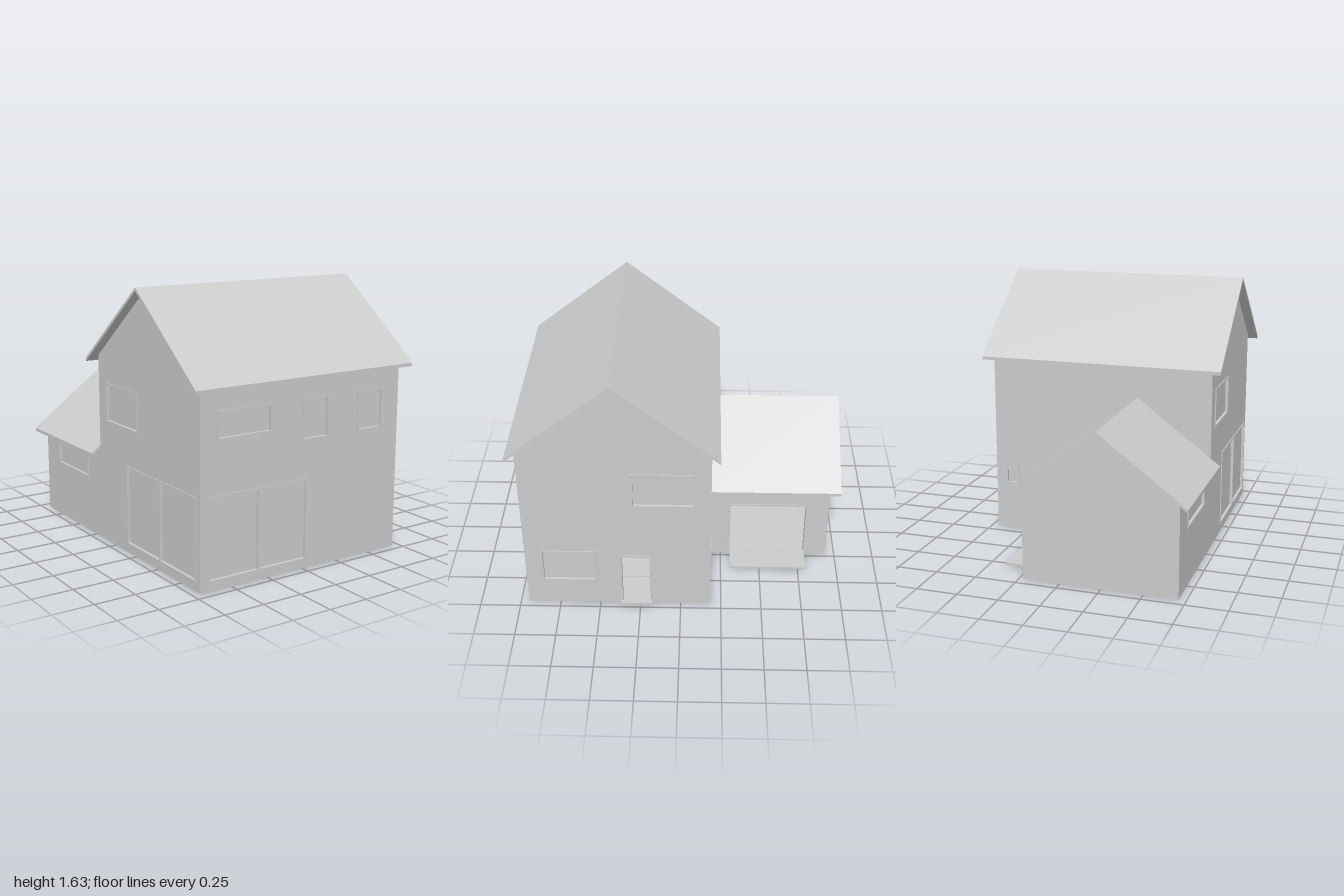
import * as THREE from 'three';

const mat = new THREE.MeshStandardMaterial({ color: 0xcccccc, flatShading: true, side: THREE.DoubleSide });
const WALL = 0.008; // wall thickness
const FRAME = 0.012; // width of window and door frames

// Path of a rectangle given as [left, right, bottom, top]
function rectPath(target, [l, r, b, t]) {
  target.moveTo(l, b);
  target.lineTo(r, b);
  target.lineTo(r, t);
  target.lineTo(l, t);
  target.closePath();
  return target;
}

function mesh(name, geometry) {
  const m = new THREE.Mesh(geometry, mat);
  m.name = name;
  return m;
}

// Box from its lower and upper limits on each axis
function box(name, [x0, x1], [y0, y1], [z0, z1]) {
  const g = new THREE.BoxGeometry(x1 - x0, y1 - y0, z1 - z0);
  g.translate((x0 + x1) / 2, (y0 + y1) / 2, (z0 + z1) / 2);
  return mesh(name, g);
}

// Flat wall in its own plane: outer face at local z = 0, with framed openings.
// Each opening: { rect, pane: false for an open doorway, name }
function wall(name, outline, openings = []) {
  const group = new THREE.Group();
  group.name = name;
  const shape = new THREE.Shape(outline.map(([x, y]) => new THREE.Vector2(x, y)));
  for (const o of openings) shape.holes.push(rectPath(new THREE.Path(), o.rect));
  const panel = mesh(name + 'Panel', new THREE.ExtrudeGeometry(shape, { depth: WALL, bevelEnabled: false }));
  panel.position.z = -WALL;
  group.add(panel);
  for (const { rect, pane = true, name: part = 'window' } of openings) {
    const [l, r, b, t] = rect;
    // Frame around the opening; a doorway has no bar at its foot
    const foot = pane ? b - FRAME : b;
    const frameShape = rectPath(new THREE.Shape(), [l - FRAME, r + FRAME, foot, t + FRAME]);
    frameShape.holes.push(rectPath(new THREE.Path(), [l, r, pane ? b : b + 0.001, t]));
    const frame = mesh(part + 'Frame', new THREE.ExtrudeGeometry(frameShape, { depth: 0.036, bevelEnabled: false }));
    frame.position.z = -0.03;
    group.add(frame);
    if (pane) group.add(box(part + 'Pane', [l, r], [b, t], [-0.018, -0.012]));
  }
  return group;
}

// Gable roof of two slabs, ridge along local z; underside apex at y = apex
function gableRoof(name, half, apex, slope, length, thick = 0.02) {
  const eave = apex - slope * half;
  const shape = new THREE.Shape([
    [-half, eave], [0, apex], [half, eave], [half, eave + thick], [0, apex + thick], [-half, eave + thick],
  ].map(([x, y]) => new THREE.Vector2(x, y)));
  const g = new THREE.ExtrudeGeometry(shape, { depth: length, bevelEnabled: false });
  g.translate(0, 0, -length / 2);
  return mesh(name, g);
}

const rectangle = (l, r, top) => [[l, 0], [r, 0], [r, top], [l, top]];

// Put a wall's outer face on a side of the building
function place(group, part, x, z, turn) {
  part.position.set(x, 0, z);
  part.rotation.y = turn;
  group.add(part);
}

function mainHouse() {
  const g = new THREE.Group();
  g.name = 'mainHouse';
  const X = 0.705, front = 0.95, back = -0.18, mid = 0.385;
  const eave = 1.164, apex = 1.606, slope = 0.782;

  place(g, wall('frontWall', rectangle(-X, X, eave), [
    { rect: [-0.645, -0.323, 0.065, 0.53], name: 'slidingDoor' },
    { rect: [-0.31, 0.013, 0.065, 0.53], name: 'slidingDoor' },
    { rect: [-0.585, -0.245, 0.86, 1.0] },
    { rect: [-0.01, 0.16, 0.777, 1.0] },
    { rect: [0.4, 0.57, 0.777, 1.0] },
  ]), 0, front, 0);

  // Back wall seen from behind, so local x is mirrored
  place(g, wall('backWall', rectangle(-X, X, eave), [
    { rect: [-0.63, -0.565, 0.315, 0.4], name: 'smallWindow' },
  ]), 0, back, Math.PI);

  // Right-hand picture of each gable wall: local x = -z on +x, local x = z on -x
  place(g, wall('leftGableWall', [[-front, 0], [-back, 0], [-back, eave], [-mid, apex], [-front, eave]], [
    { rect: [-0.84, -0.525, 0.19, 0.405] },
    { rect: [-0.36, -0.19, 0.025, 0.375], pane: false, name: 'entrance' },
    { rect: [-0.28, 0.075, 0.777, 0.995] },
  ]), X, 0, Math.PI / 2);
  place(g, wall('rightGableWall', [[back, 0], [front, 0], [front, eave], [mid, apex], [back, eave]], [
    { rect: [0.16, 0.523, 0.065, 0.53], name: 'slidingDoor' },
    { rect: [0.536, 0.9, 0.065, 0.53], name: 'slidingDoor' },
    { rect: [-0.075, 0.28, 0.777, 0.995] },
  ]), -X, 0, -Math.PI / 2);

  place(g, gableRoof('mainRoof', 0.615, apex, slope, 1.53), 0, mid, Math.PI / 2);

  // Floors, inner landing and doorstep
  g.add(box('groundFloor', [-X + WALL, X - WALL], [0.02, 0.025], [back, front - WALL]));
  g.add(box('upperFloor', [-X + WALL, X - WALL], [0.6, 0.62], [back + WALL, front - WALL]));
  g.add(box('landing', [0.1, X - 0.03], [0.187, 0.193], [0.15, 0.4]));
  g.add(box('doorstep', [X, 0.74], [0, 0.025], [0.18, 0.372]));
  return g;
}

function garage() {
  const g = new THREE.Group();
  g.name = 'garage';
  const left = 0.225, right = -0.705, mid = -0.24, front = -0.18, back = -0.94;
  const eave = 0.577, apex = 0.922, slope = 0.742;

  place(g, wall('garageLeftWall', rectangle(-front, -back, eave), [
    { rect: [0.31, 0.793, 0.025, 0.4], pane: false, name: 'garageDoorway' },
  ]), left, 0, Math.PI / 2);
  place(g, wall('garageRightWall', rectangle(back, front, eave), [
    { rect: [-0.75, -0.355, 0.365, 0.51], name: 'garageWindow' },
  ]), right, 0, -Math.PI / 2);
  place(g, wall('garageBackWall', [[-left, 0], [-right, 0], [-right, eave], [-mid, apex], [-left, eave]]),
    0, back, Math.PI);

  place(g, gableRoof('garageRoof', 0.525, apex, slope, 0.815), mid, -0.5925, 0);
  g.add(box('garageFloor', [right + WALL, left - WALL], [0.02, 0.025], [back + WALL, front]));
  g.add(box('garageApron', [left, 0.39], [0.01, 0.025], [-0.8, -0.31]));
  return g;
}

export function createModel() {
  const model = new THREE.Group();
  model.name = 'house';
  model.add(mainHouse(), garage());
  return model;
}
